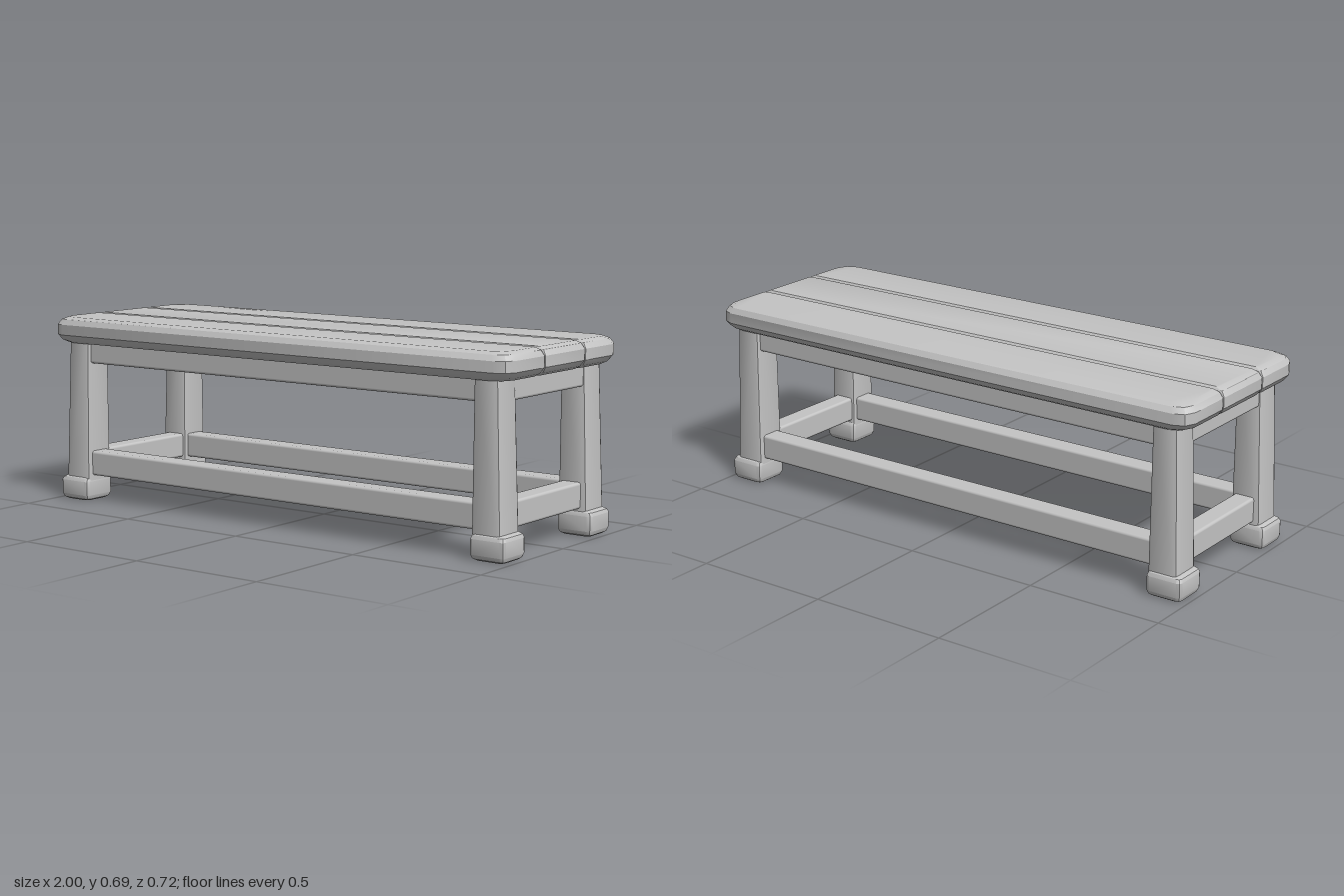
import * as THREE from 'three';
import { toCreasedNormals } from 'three/addons/utils/BufferGeometryUtils.js';
import { ConvexGeometry } from 'three/addons/geometries/ConvexGeometry.js';
import { RoundedBoxGeometry } from 'three/addons/geometries/RoundedBoxGeometry.js';

export function createModel() {
  const bench = new THREE.Group();
  bench.name = 'bench';
  const grey = new THREE.MeshStandardMaterial({ color: 0xc4c4c4 });
  grey.name = 'light grey';

  function add(name, geometry, x = 0, y = 0, z = 0) {
    const mesh = new THREE.Mesh(geometry, grey);
    mesh.name = name;
    mesh.position.set(x, y, z);
    bench.add(mesh);
  }

  // Solid through levels [y, x0, x1, z0, z1, corners];
  // corners = cut sizes at (x0,z0), (x1,z0), (x1,z1), (x0,z1)
  function hull(levels, sx = 1, sz = 1) {
    const points = [];
    for (const [y, x0, x1, z0, z1, cuts] of levels) {
      const corners = [[x0, z0, 1, 1], [x1, z0, -1, 1], [x1, z1, -1, -1], [x0, z1, 1, -1]];
      corners.forEach(([x, z, dx, dz], i) => {
        const c = cuts[i];
        for (const [u, v] of [[1, 0], [0.3, 0.3], [0, 1]]) {
          points.push(new THREE.Vector3(sx * (x + dx * c * u), y, sz * (z + dz * c * v)));
        }
      });
    }
    return toCreasedNormals(new ConvexGeometry(points), 0.5);
  }

  // Seat: two outer planks with rounded rims and one middle plank
  const rim = [[0.59, 0.03], [0.6, 0.013], [0.62, 0], [0.658, 0], [0.677, 0.011], [0.686, 0.03]];
  for (const s of [1, -1]) {
    const levels = rim.map(([y, i]) =>
      [y, -1 + i, 1 - i, 0.128 + i * 0.4, 0.361 - i, [0.01, 0.01, 0.055, 0.055]]);
    add(s > 0 ? 'frontPlank' : 'backPlank', hull(levels, 1, s));
  }
  add('middlePlank', hull(rim.map(([y, i]) => {
    const z = 0.128 - i * 0.4;
    return [y, -1 + i, 1 - i, -z, z, [0.01, 0.01, 0.01, 0.01]];
  })));

  // Tapered legs on block feet
  const cut = (c) => [c, c, c, c];
  for (const sx of [1, -1]) {
    for (const sz of [1, -1]) {
      add('leg', hull([
        [0.07, 0.85, 0.963, 0.212, 0.332, cut(0.012)],
        [0.61, 0.85, 0.943, 0.215, 0.325, cut(0.012)],
      ], sx, sz));
      add('foot', hull([
        [0, 0.864, 0.969, 0.222, 0.327, cut(0.015)],
        [0.006, 0.854, 0.979, 0.212, 0.337, cut(0.015)],
        [0.02, 0.849, 0.984, 0.206, 0.343, cut(0.015)],
        [0.072, 0.849, 0.984, 0.206, 0.343, cut(0.015)],
        [0.084, 0.852, 0.979, 0.21, 0.337, cut(0.015)],
        [0.09, 0.858, 0.965, 0.215, 0.327, cut(0.012)],
      ], sx, sz));
    }
  }

  // Stretchers near the floor and aprons under the seat
  for (const s of [1, -1]) {
    for (const [name, y, h] of [['Stretcher', 0.141, 0.092], ['Apron', 0.561, 0.09]]) {
      add('long' + name, new RoundedBoxGeometry(1.76, h, 0.08, 2, 0.01), 0, y, s * 0.27);
      add('end' + name, new RoundedBoxGeometry(0.078, h, 0.5, 2, 0.01), s * 0.9, y, 0);
    }
  }
  return bench;
}
